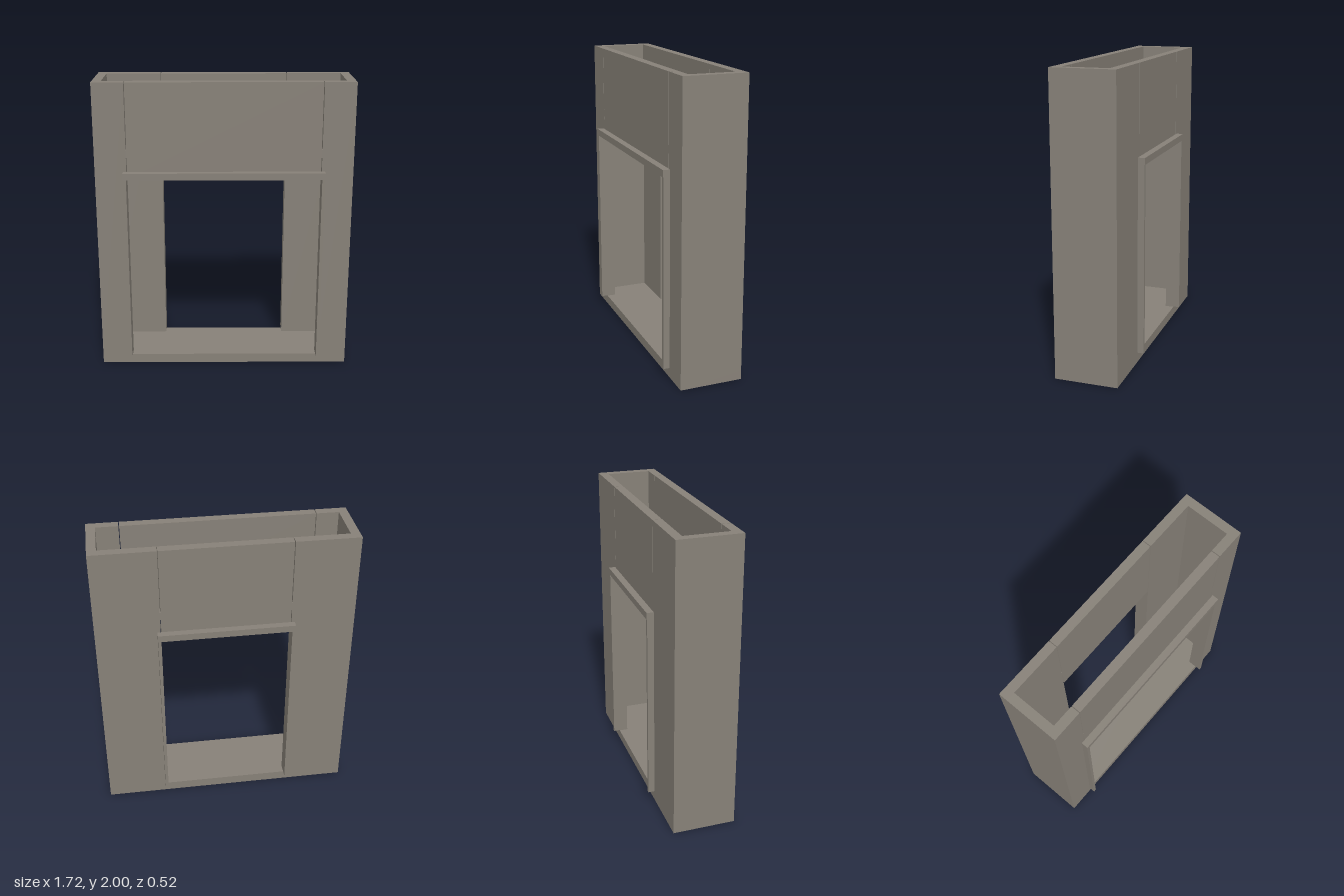
import * as THREE from 'three';

export function createModel() {
  const model = new THREE.Group();
  model.name = 'shaftDoorway';
  const stone = new THREE.MeshStandardMaterial({ color: 0x878178 });
  stone.name = 'grey stone';

  // Box given by its lower and upper limits on each axis
  function block(parent, name, x0, x1, y0, y1, z0, z1) {
    const mesh = new THREE.Mesh(new THREE.BoxGeometry(x1 - x0, y1 - y0, z1 - z0), stone);
    mesh.position.set((x0 + x1) / 2, (y0 + y1) / 2, (z0 + z1) / 2);
    mesh.name = name;
    parent.add(mesh);
  }

  const W = 0.858, D = 0.213, T = 0.061;   // half width, half depth, wall thickness
  const floor = 0.065, foot = 0.068, head = 1.36, top = 2;
  const gap = 0.005;

  block(model, 'base', -W, W, 0, floor, -D, D);

  // End walls
  for (const s of [-1, 1]) {
    const a = s * (W - T), b = s * W;
    block(model, s > 0 ? 'leftEndWall' : 'rightEndWall',
      Math.min(a, b), Math.max(a, b), floor, top, -D + T, D - T);
  }

  // Wall with a doorway, facing +z; half is half the opening width
  function doorWall(name, half) {
    const wall = new THREE.Group();
    wall.name = name;
    const z0 = D - T;
    block(wall, 'headerPanel', -half + gap, half - gap, head, top, z0, D);
    for (const s of [-1, 1]) {
      const side = new THREE.Group();
      side.name = s > 0 ? 'sidePlusX' : 'sideMinusX';
      const span = (n, a, b, ...rest) =>
        block(side, n, Math.min(s * a, s * b), Math.max(s * a, s * b), ...rest);
      span('pier', half, W, floor, top, z0, D);
      // Short tie bridging the joint between pier and header
      span('jointTie', half - gap, half, 1.5, 1.553, z0, D);
      span('jambTrim', half, half + 0.021, foot, head, D, 0.257);
      wall.add(side);
    }
    block(wall, 'lintelTrim', -half - 0.022, half + 0.022, head, 1.406, D, 0.26);
    model.add(wall);
    return wall;
  }

  doorWall('frontWall', 0.648);
  doorWall('backWall', 0.432).rotation.y = Math.PI;

  return model;
}
